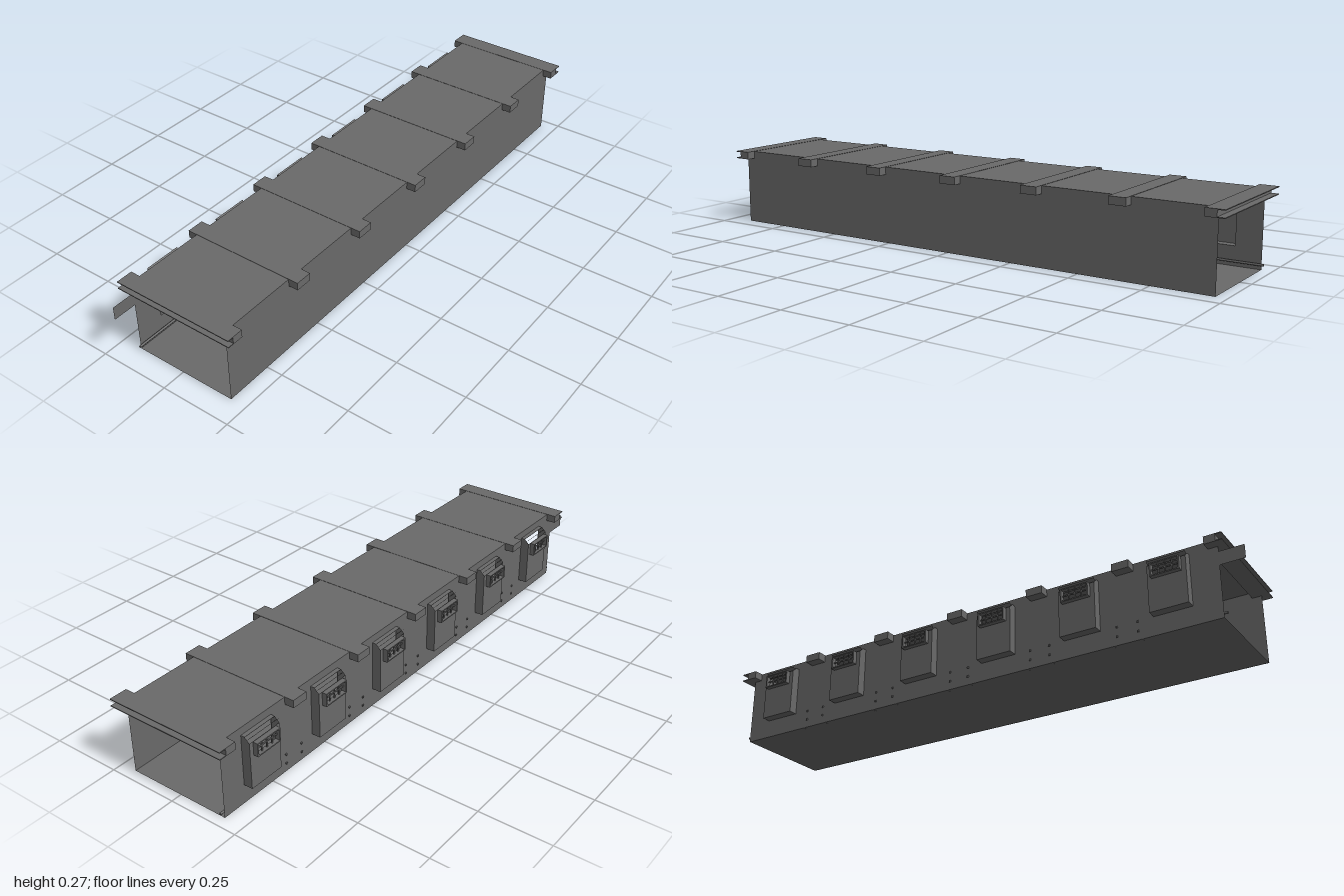
import * as THREE from 'three';

const steel = new THREE.MeshStandardMaterial({ color: 0x6a6a6a, side: THREE.DoubleSide });
steel.name = 'grey steel';

function add(parent, name, geometry, x = 0, y = 0, z = 0) {
  const mesh = new THREE.Mesh(geometry, steel);
  mesh.name = name;
  mesh.position.set(x, y, z);
  parent.add(mesh);
  return mesh;
}

// Box given by its limits on each axis
function block(parent, name, [x0, x1], [y0, y1], [z0, z1]) {
  return add(parent, name, new THREE.BoxGeometry(x1 - x0, y1 - y0, z1 - z0),
    (x0 + x1) / 2, (y0 + y1) / 2, (z0 + z1) / 2);
}

// Flat rectangle with rectangular holes, each [x0, x1, y0, y1]
function panel(outer, holes) {
  const trace = (path, [x0, x1, y0, y1]) =>
    path.moveTo(x0, y0).lineTo(x1, y0).lineTo(x1, y1).lineTo(x0, y1).closePath();
  const shape = trace(new THREE.Shape(), outer);
  for (const h of holes) shape.holes.push(trace(new THREE.Path(), h));
  return new THREE.ShapeGeometry(shape);
}

const LEFT = 0.963, RIGHT = -0.917;
const FRONT = 0.193, BACK = -0.178;
const BAY = 0.3133;
const windowX = Array.from({ length: 6 }, (_, i) => -0.757 + i * BAY);
const beamX = Array.from({ length: 5 }, (_, i) => -0.602 + i * BAY);

// Projecting window bay with sloped top and a barred opening
function makeWindow() {
  const g = new THREE.Group();
  g.name = 'windowBay';
  const hw = 0.065, zf = -0.21;
  add(g, 'bayFace', panel([-hw, hw, 0.065, 0.227], [[-0.045, 0.045, 0.182, 0.221]]), 0, 0, zf);
  const cheek = new THREE.Shape([
    [BACK, 0.065], [zf, 0.065], [zf, 0.227], [-0.193, 0.243], [BACK, 0.243],
  ].map(p => new THREE.Vector2(...p)));
  for (const s of [-1, 1]) {
    const side = add(g, 'bayCheek', new THREE.ShapeGeometry(cheek), s * hw);
    side.rotation.y = -Math.PI / 2;
  }
  block(g, 'baySill', [-hw, hw], [0.065, 0.067], [zf, BACK]);
  block(g, 'bayTop', [-hw, hw], [0.242, 0.243], [-0.193, BACK]);
  const slope = add(g, 'baySlope', new THREE.PlaneGeometry(hw * 2, Math.hypot(0.016, 0.017)),
    0, 0.235, -0.2015);
  slope.rotation.x = -Math.atan2(0.017, 0.016);

  // Raised grille frame and bars
  for (const s of [-1, 1])
    block(g, 'grilleSide', s < 0 ? [-0.05, -0.045] : [0.045, 0.05], [0.178, 0.225], [-0.227, zf]);
  block(g, 'grilleTop', [-0.05, 0.05], [0.221, 0.225], [-0.227, zf]);
  block(g, 'grilleBottom', [-0.05, 0.05], [0.178, 0.182], [-0.227, zf]);
  for (const x of [-0.0225, 0, 0.0225])
    block(g, 'grilleBar', [x - 0.002, x + 0.002], [0.182, 0.221], [-0.219, -0.215]);
  block(g, 'grilleCrossBar', [-0.045, 0.045], [0.2, 0.204], [-0.219, -0.215]);
  return g;
}

// Radiator with two headers, paired slim columns and wall bolts
function makeRadiator() {
  const g = new THREE.Group();
  g.name = 'radiator';
  for (const y of [0.018, 0.073]) {
    const pipe = add(g, 'header', new THREE.CylinderGeometry(0.006, 0.006, 0.11, 10), 0, y, -0.171);
    pipe.rotation.z = Math.PI / 2;
  }
  for (let i = 0; i < 7; i++) {
    const x = -0.048 + i * 0.016;
    const foot = i === 0 || i === 6 ? 0 : 0.012;
    for (const z of [-0.1655, -0.1755])
      block(g, 'column', [x - 0.004, x + 0.004], [foot, 0.08], [z - 0.0015, z + 0.0015]);
  }
  for (const x of [-0.036, 0.036])
    for (const y of [0.03, 0.063])
      block(g, 'wallBolt', [x - 0.003, x + 0.003], [y - 0.003, y + 0.003], [-0.182, -0.174]);
  return g;
}

export function createModel() {
  const model = new THREE.Group();
  model.name = 'corridorSection';

  // Shell, open at both ends
  const length = LEFT - RIGHT, midX = (LEFT + RIGHT) / 2, depth = FRONT - BACK;
  const floor = add(model, 'floor', new THREE.PlaneGeometry(length, depth), midX, 0.0005, (FRONT + BACK) / 2);
  floor.rotation.x = -Math.PI / 2;
  add(model, 'frontWall', new THREE.PlaneGeometry(length, 0.266), midX, 0.133, FRONT);
  add(model, 'backWall', panel([RIGHT, LEFT, 0, 0.266],
    windowX.map(x => [x - 0.063, x + 0.063, 0.067, 0.241])), 0, 0, BACK);
  block(model, 'roof', [-0.925, 0.975], [0.263, 0.269], [BACK, FRONT]);

  // Roof beams, with outward-facing channels at both ends
  for (const x of beamX)
    block(model, 'roofBeam', [x - 0.03, x + 0.03], [0.243, 0.27], [-0.212, 0.227]);
  for (const [web, flange] of [[[-0.922, -0.884], [-0.943, -0.884]], [[0.932, 0.971], [0.932, 0.996]]]) {
    block(model, 'endBeamWeb', web, [0.244, 0.269], [-0.212, 0.227]);
    block(model, 'endBeamTopFlange', flange, [0.267, 0.27], [-0.212, 0.227]);
    block(model, 'endBeamBottomFlange', flange, [0.243, 0.246], [-0.212, 0.227]);
  }

  for (const x of windowX) {
    const w = makeWindow();
    w.position.x = x;
    model.add(w);
  }
  for (const x of beamX) {
    const r = makeRadiator();
    r.position.x = x;
    model.add(r);
  }

  // Heating pipe along the back wall and the strip beyond the right end
  const pipe = add(model, 'heatingPipe', new THREE.CylinderGeometry(0.004, 0.004, 1.9, 8), midX, 0.018, -0.171);
  pipe.rotation.z = Math.PI / 2;
  add(model, 'endStrip', new THREE.PlaneGeometry(0.083, 0.047), -0.9585, 0.2015, BACK);
  return model;
}
